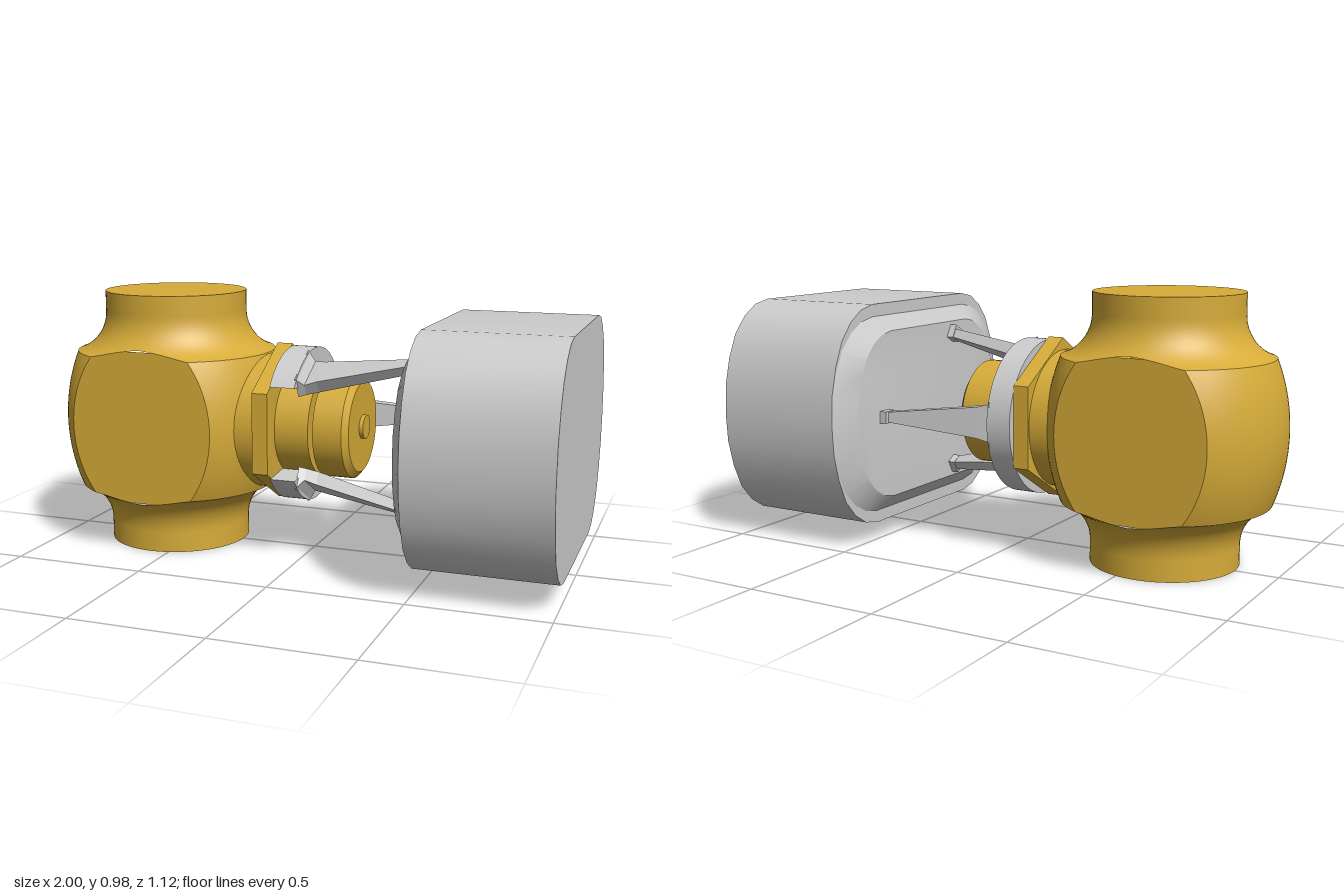
import * as THREE from 'three';
import { toCreasedNormals } from 'three/addons/utils/BufferGeometryUtils.js';

const AXIS_Y = 0.4875; // height of the horizontal stem axis
const BODY_X = -0.57; // centre of the valve body
const FLAT_Z = 0.325; // flats on the front and back of the body

export function createModel() {
  const brass = new THREE.MeshStandardMaterial({ color: 0xd6ab38 });
  brass.name = 'brass';
  const grey = new THREE.MeshStandardMaterial({ color: 0xcccccc });
  grey.name = 'lightGrey';

  const model = new THREE.Group();
  model.name = 'valveWithActuator';

  const add = (parent, name, geometry, material) => {
    const mesh = new THREE.Mesh(geometry, material);
    mesh.name = name;
    parent.add(mesh);
    return mesh;
  };
  const group = (name) => {
    const g = new THREE.Group();
    g.name = name;
    model.add(g);
    return g;
  };

  // ---- Valve body: turned about y, with front and back cut flat ----
  const body = group('valveBody');
  body.position.set(BODY_X, AXIS_Y, 0);

  const arc = (cx, cy, r, from, to, n) =>
    Array.from({ length: n + 1 }, (_, i) => {
      const t = from + ((to - from) * i) / n;
      return new THREE.Vector2(cx + r * Math.cos(t), cy + r * Math.sin(t));
    });
  const bellyAngle = Math.asin(0.26 / 0.7);
  const belly = arc(-0.27, 0, 0.7, -bellyAngle, bellyAngle, 24);
  const flareR = 0.157;
  const flareEnd = Math.PI + Math.asin(0.15 / flareR);
  const topFlare = arc(0.27 + flareR, 0.41, flareR, flareEnd, Math.PI, 24);
  const flip = (pts) => pts.map((p) => new THREE.Vector2(p.x, -p.y)).reverse();
  const bottomFlare = flip(topFlare);
  const topPort = [new THREE.Vector2(0.27, 0.41), new THREE.Vector2(0.27, AXIS_Y)];
  const topCap = [new THREE.Vector2(0.27, AXIS_Y), new THREE.Vector2(0, AXIS_Y)];

  // Half a turned surface, squeezed in angle so it stops at the flats
  const halfTurn = (pts, start) => {
    const seg = 32;
    const g = new THREE.LatheGeometry(pts, seg, start, Math.PI);
    const up = new THREE.Vector3(0, 1, 0);
    const v = new THREE.Vector3();
    for (let k = 0; k < g.attributes.position.count; k++) {
      const r = pts[k % pts.length].x;
      const t = Math.floor(k / pts.length) / seg;
      const a = r > FLAT_Z ? Math.acos(FLAT_Z / r) : 0;
      const turn = a * (1 - 2 * t);
      for (const attr of [g.attributes.position, g.attributes.normal]) {
        v.fromBufferAttribute(attr, k).applyAxisAngle(up, turn);
        attr.setXYZ(k, v.x, v.y, v.z);
      }
    }
    return g;
  };
  const sections = {
    bottomCap: flip(topCap), bottomPort: flip(topPort), bottomFlare,
    belly, topFlare, topPort, topCap,
  };
  for (const [name, pts] of Object.entries(sections)) {
    add(body, name + 'Left', halfTurn(pts, 0), brass);
    add(body, name + 'Right', halfTurn(pts, Math.PI), brass);
  }

  // Flat faces closing the cuts
  const edge = [...bottomFlare, ...belly.slice(1, -1), ...topFlare]
    .filter((p) => p.x > FLAT_Z)
    .map((p) => new THREE.Vector2(Math.sqrt(p.x * p.x - FLAT_Z * FLAT_Z), p.y));
  const mirrored = edge.map((p) => new THREE.Vector2(-p.x, p.y)).reverse();
  const flat = new THREE.ShapeGeometry(new THREE.Shape([...edge, ...mirrored]));
  add(body, 'frontFlat', flat, brass).position.z = FLAT_Z;
  const back = add(body, 'backFlat', flat, brass);
  back.position.z = -FLAT_Z;
  back.rotation.y = Math.PI;

  // ---- Parts along the x axis ----
  const stem = group('stem');
  stem.position.y = AXIS_Y;
  const rod = (name, x0, x1, r0, r1 = r0, sides = 48) => {
    let g = new THREE.CylinderGeometry(r1, r0, x1 - x0, sides, 1, false, Math.PI / 2);
    g.rotateZ(-Math.PI / 2).translate((x0 + x1) / 2, 0, 0);
    if (sides < 10) {
      g = g.toNonIndexed();
      g.computeVertexNormals();
    }
    return add(stem, name, g, brass);
  };
  rod('neck', -0.45, -0.15, 0.255);
  rod('hexNut', -0.15, -0.09, 0.3, 0.3, 6);
  rod('sleeve', -0.09, 0.04, 0.19);
  rod('groove', 0.04, 0.06, 0.135);
  rod('cap', 0.06, 0.17, 0.195);
  rod('capChamfer', 0.17, 0.19, 0.195, 0.17);
  rod('pin', 0.19, 0.205, 0.045);

  // Extrude a (-z, y) outline along +x
  const extrudeX = (shape, x0, x1) =>
    new THREE.ExtrudeGeometry(shape, { depth: x1 - x0, bevelEnabled: false, curveSegments: 48 })
      .rotateY(Math.PI / 2)
      .translate(x0, 0, 0);

  // ---- Bracket: open collar with three tapered arms ----
  const bracket = group('bracket');
  bracket.position.y = AXIS_Y;
  const outer = Math.PI - Math.asin(0.172 / 0.29);
  const inner = Math.PI - Math.asin(0.16 / 0.192);
  const collar = new THREE.Shape();
  collar.absarc(0, 0, 0.29, -outer, outer, false);
  collar.absarc(0, 0, 0.192, inner, -inner, true);
  add(bracket, 'collar', toCreasedNormals(extrudeX(collar, -0.09, 0.005), 0.5), grey);

  // Stations along an arm: x, inner radius, outer radius, half width
  const stations = [
    [0, 0.2, 0.285, 0.085],
    [0.025, 0.2, 0.245, 0.07],
    [0.07, 0.205, 0.255, 0.058],
    [0.42, 0.285, 0.322, 0.019],
    [0.45, 0.287, 0.325, 0.018],
  ];
  let armGeo = new THREE.BoxGeometry(1, 1, 1, stations.length - 1, 1, 1);
  const ap = armGeo.attributes.position;
  for (let i = 0; i < ap.count; i++) {
    const s = stations[Math.round((ap.getX(i) + 0.5) * (stations.length - 1))];
    ap.setXYZ(i, s[0], ap.getY(i) > 0 ? s[2] : s[1], Math.sign(ap.getZ(i)) * s[3]);
  }
  armGeo = armGeo.toNonIndexed();
  armGeo.computeVertexNormals();
  const footGeo = new THREE.BoxGeometry(0.035, 0.055, 0.045).translate(0.433, 0.31, 0);
  // One arm at the back, two towards the front above and below
  for (const angle of [-Math.PI / 2, Math.PI / 6, (5 * Math.PI) / 6]) {
    const arm = new THREE.Group();
    arm.name = 'arm';
    add(arm, 'armBar', armGeo, grey);
    add(arm, 'armFoot', footGeo, grey);
    arm.rotation.x = angle;
    bracket.add(arm);
  }

  // ---- Actuator housing: flat top and bottom, rounded sides ----
  const actuator = group('actuator');
  actuator.position.y = AXIS_Y;
  const quarter = [
    [0.562, 0], [0.555, 0.11], [0.53, 0.21], [0.492, 0.298],
    [0.437, 0.362], [0.375, 0.402], [0.305, 0.417],
  ];
  const pts = [
    ...quarter,
    ...quarter.map(([z, y]) => [-z, y]).reverse(),
    ...quarter.slice(1).map(([z, y]) => [-z, -y]),
    ...quarter.slice(1).map(([z, y]) => [z, -y]).reverse(),
  ].map(([z, y]) => new THREE.Vector2(z, y));
  const outline = new THREE.Shape(pts);
  add(actuator, 'housing', toCreasedNormals(extrudeX(outline, 0.49, 1), 0.5), grey);

  // Tapered base plate facing the valve
  const plate = extrudeX(outline, 0.443, 0.49);
  const pp = plate.attributes.position;
  for (let i = 0; i < pp.count; i++) {
    const far = pp.getX(i) > 0.46;
    pp.setY(i, pp.getY(i) * (far ? 0.89 : 0.76));
    pp.setZ(i, pp.getZ(i) * (far ? 1 : 0.84));
  }
  plate.computeVertexNormals();
  add(actuator, 'basePlate', toCreasedNormals(plate, 0.5), grey);

  return model;
}
